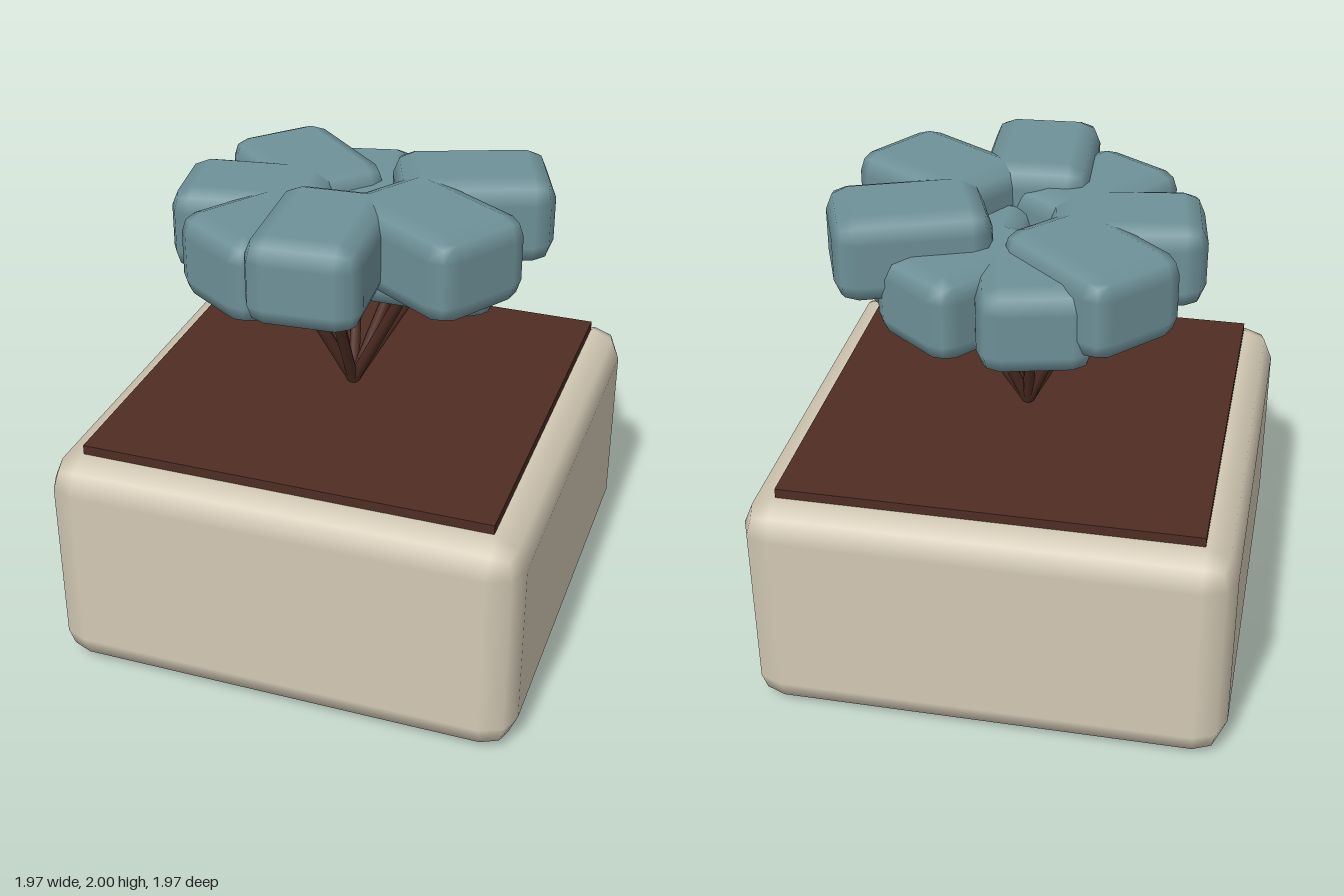
import * as THREE from 'three';
import { RoundedBoxGeometry } from 'three/addons/geometries/RoundedBoxGeometry.js';

const stone = new THREE.MeshStandardMaterial({ name: 'stone', color: 0xd2c8b4 });
const earth = new THREE.MeshStandardMaterial({ name: 'earth', color: 0x4f2d23 });
const foliage = new THREE.MeshStandardMaterial({ name: 'foliage', color: 0x6e9198 });

// three tiers of leaves: height of centre, distance from the axis, directions in degrees from +x towards +z
const TIERS = [
  { y: 1.67, radius: 0.32, angles: [0, -52, -104] },
  { y: 1.745, radius: 0.4, angles: [123, 171, 222] },
  { y: 1.82, radius: 0.48, angles: [-21, 32, 86] },
];
const ROOT = new THREE.Vector3(0, 1.02, 0);

function addMesh(parent, name, geometry, material) {
  const mesh = new THREE.Mesh(geometry, material);
  mesh.name = name;
  parent.add(mesh);
  return mesh;
}

export function createModel() {
  const model = new THREE.Group();
  model.name = 'pottedPlant';

  // square planter and the slab of soil on it
  addMesh(model, 'planter', new RoundedBoxGeometry(1.97, 0.975, 1.97, 1, 0.13), stone).position.y = 0.4875;
  addMesh(model, 'soil', new THREE.BoxGeometry(1.7, 0.045, 1.7), earth).position.y = 0.9925;

  // thick leaves fanned round the axis, each carried by a stem from the same root
  const leafGeometry = new RoundedBoxGeometry(0.63, 0.36, 0.455, 1, 0.09);
  const up = new THREE.Vector3(0, 1, 0);
  for (const { y, radius, angles } of TIERS) {
    for (const degrees of angles) {
      const a = THREE.MathUtils.degToRad(degrees);
      const centre = new THREE.Vector3(Math.cos(a) * radius, y, Math.sin(a) * radius);

      const leaf = addMesh(model, 'leaf', leafGeometry, foliage);
      leaf.position.copy(centre);
      leaf.rotation.y = -a;

      const along = centre.clone().sub(ROOT);
      const stem = addMesh(model, 'stem', new THREE.CylinderGeometry(0.024, 0.024, along.length(), 8), earth);
      stem.position.copy(ROOT).addScaledVector(along, 0.5);
      stem.quaternion.setFromUnitVectors(up, along.normalize());
    }
  }
  return model;
}
